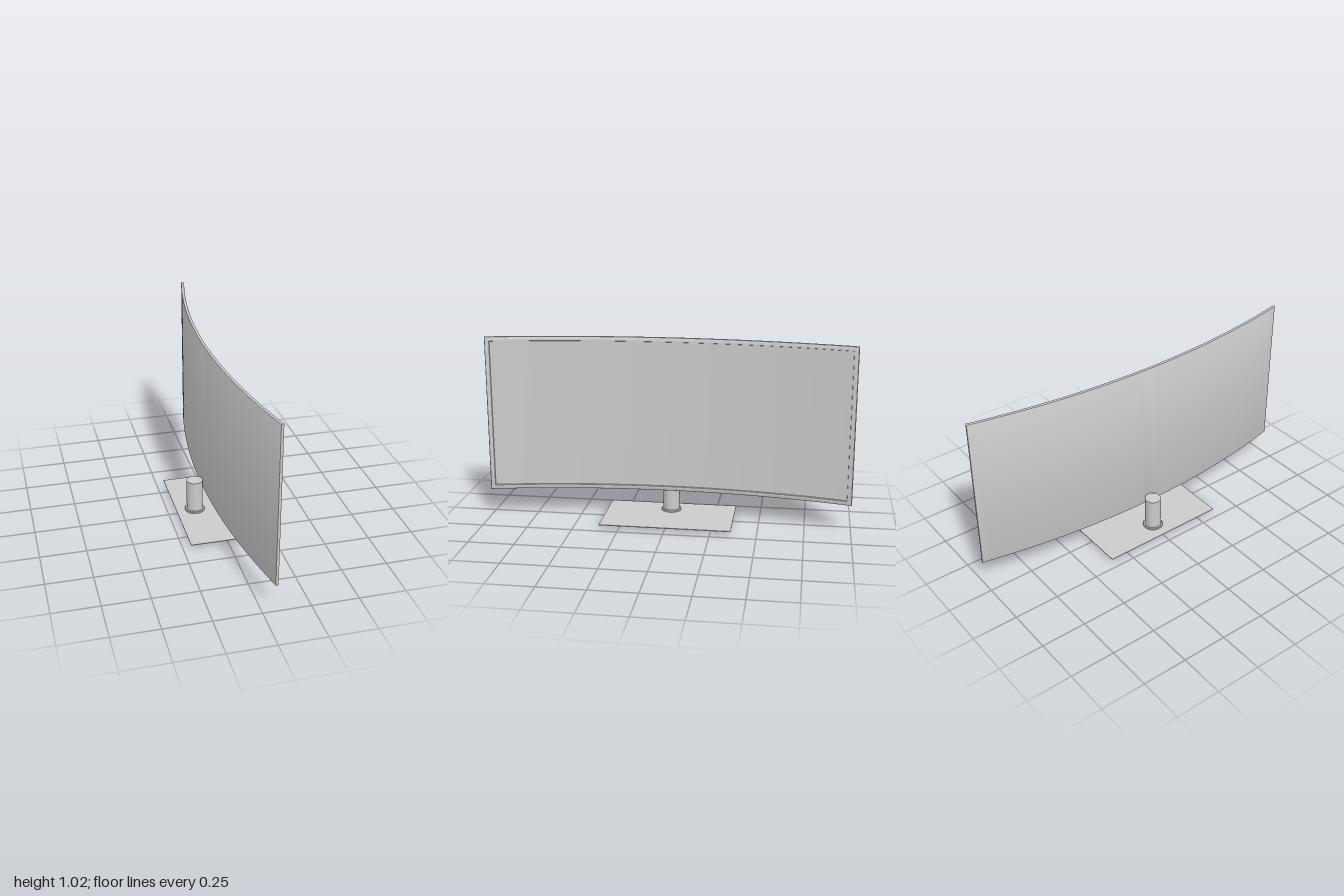
import * as THREE from 'three';
import { toCreasedNormals } from 'three/addons/utils/BufferGeometryUtils.js';

const material = new THREE.MeshStandardMaterial({ color: 0xcccccc });
const BOTTOM = 0.15, TOP = 1.017, HALF_WIDTH = 1, STEPS = 40;

// Point on the bowed panel: z along the width, d outward from the mid surface towards +x
function bend(z, y, d) {
  const slope = 0.228 * z, len = Math.hypot(1, slope);
  return [-0.044 + 0.114 * z * z + d / len, y, z - d * slope / len];
}

// Loft of rectangular rings [inset, depth] from the back cap to the recessed screen
function panelGeometry(rings) {
  const positions = [], index = [], count = 2 * (STEPS + 1);
  for (const [inset, depth] of rings) {
    const half = HALF_WIDTH - inset;
    for (let j = 0; j < count; j++) {
      const lower = j <= STEPS;
      const t = (lower ? j : count - 1 - j) / STEPS;
      positions.push(...bend((2 * t - 1) * half, lower ? BOTTOM + inset : TOP - inset, depth));
    }
  }
  for (let r = 0; r < rings.length - 1; r++) {
    for (let j = 0; j < count; j++) {
      const a = r * count + j, b = r * count + (j + 1) % count;
      index.push(a, a + count, b, b, a + count, b + count);
    }
  }
  const last = (rings.length - 1) * count;
  for (let j = 0; j < STEPS; j++) {
    const top = count - 1 - j;
    index.push(j, j + 1, top, j + 1, top - 1, top);
    index.push(last + j, last + top, last + j + 1, last + j + 1, last + top, last + top - 1);
  }
  const geometry = new THREE.BufferGeometry();
  geometry.setAttribute('position', new THREE.Float32BufferAttribute(positions, 3));
  geometry.setIndex(index);
  return toCreasedNormals(geometry, 0.6);
}

function addPart(group, name, geometry, x = 0, y = 0, z = 0) {
  const mesh = new THREE.Mesh(geometry, material);
  mesh.name = name;
  mesh.position.set(x, y, z);
  group.add(mesh);
}

export function createModel() {
  const group = new THREE.Group();
  group.name = 'curvedMonitor';

  // Curved display with softened edges and a slim bezel around the recessed screen
  addPart(group, 'displayPanel', panelGeometry([
    [0.005, -0.009], [0.0015, -0.0075], [0, -0.004],
    [0, 0.004], [0.0015, 0.0075], [0.005, 0.009],
    [0.024, 0.009], [0.026, 0.003],
  ]));

  // Thin rectangular foot
  addPart(group, 'basePlate', new THREE.BoxGeometry(0.405, 0.004, 0.72), -0.002, 0.016, 0);

  // Round post with a stepped collar, standing behind the display
  const profile = [
    [0, 0], [0.054, 0], [0.055, 0.002], [0.055, 0.026], [0.053, 0.028],
    [0.045, 0.028], [0.045, 0.205], [0, 0.205],
  ].map(([r, y]) => new THREE.Vector2(r, y));
  addPart(group, 'standPost', toCreasedNormals(new THREE.LatheGeometry(profile, 48), 0.6), -0.1, 0, 0);

  return group;
}
